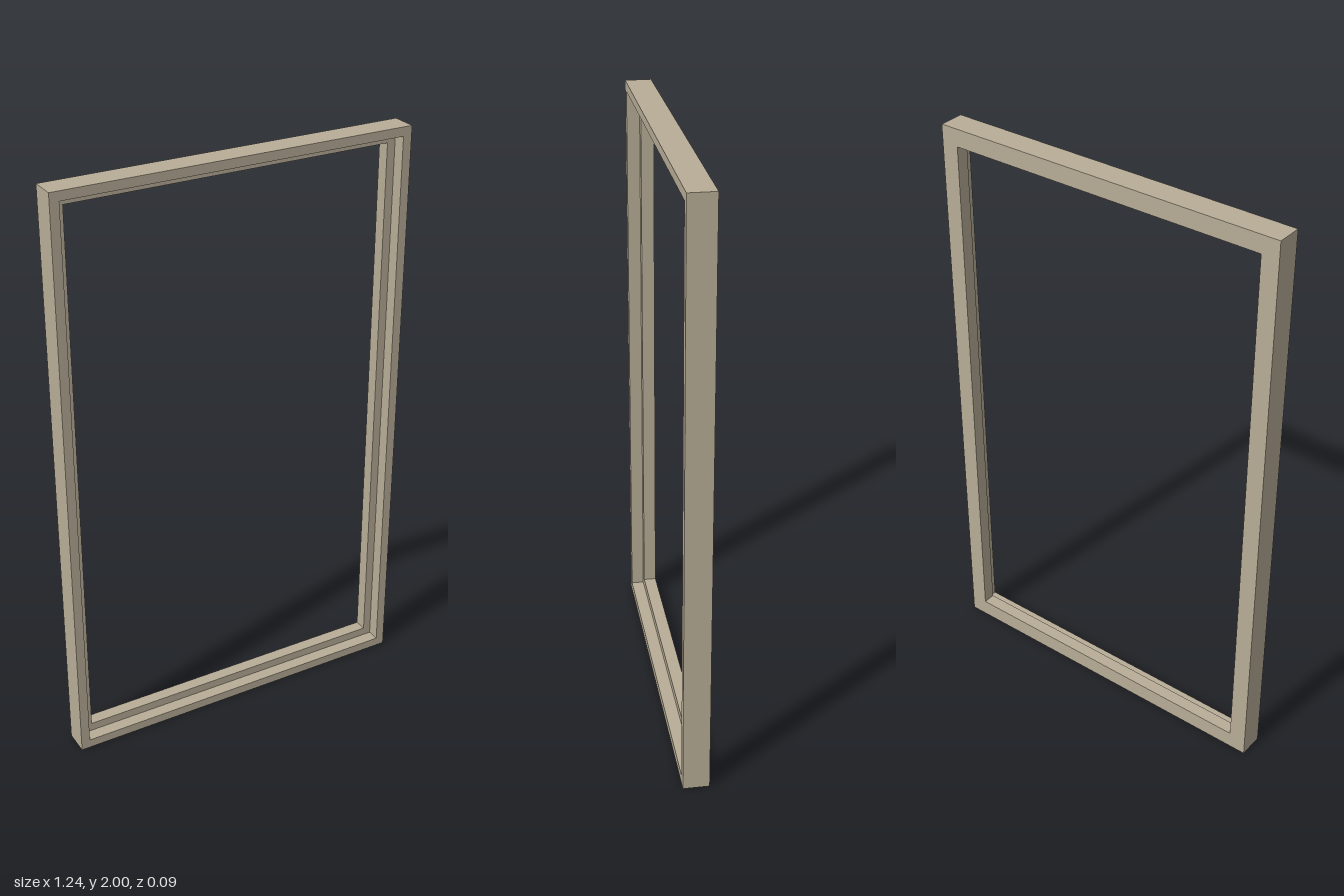
import * as THREE from 'three';

const HALF_W = 0.622, HEIGHT = 2, HALF_D = 0.044;
const LIP = 0.031, RAIL = 0.06, STEP_Z = 0;

// Rebated rail section as [inset from the outer edge, z], from outer back round to inner back
const SECTION = [
  [0, -HALF_D], [0, HALF_D], [LIP, HALF_D],
  [LIP, STEP_Z], [RAIL, STEP_Z], [RAIL, -HALF_D],
];
// Corners counter-clockwise seen from the front
const CORNERS = [[-1, -1], [1, -1], [1, 1], [-1, 1]];

// Sweeps the section round the four mitred corners
function sweepFrame() {
  const positions = [], index = [];
  for (const [inset, z] of SECTION) {
    for (const [sx, sy] of CORNERS) {
      positions.push(sx * (HALF_W - inset), HEIGHT / 2 + sy * (HEIGHT / 2 - inset), z);
    }
  }
  for (let i = 0; i < SECTION.length; i++) {
    const next = (i + 1) % SECTION.length;
    for (let k = 0; k < 4; k++) {
      const k2 = (k + 1) % 4;
      const a = i * 4 + k, b = i * 4 + k2, c = next * 4 + k2, d = next * 4 + k;
      index.push(a, b, c, a, c, d);
    }
  }
  const indexed = new THREE.BufferGeometry();
  indexed.setAttribute('position', new THREE.Float32BufferAttribute(positions, 3));
  indexed.setIndex(index);
  const geometry = indexed.toNonIndexed();
  geometry.computeVertexNormals();
  return geometry;
}

export function createModel() {
  const group = new THREE.Group();
  group.name = 'rebatedFrame';
  const material = new THREE.MeshStandardMaterial({ color: 0xb8ad97 });
  const frame = new THREE.Mesh(sweepFrame(), material);
  frame.name = 'frame';
  group.add(frame);
  return group;
}
